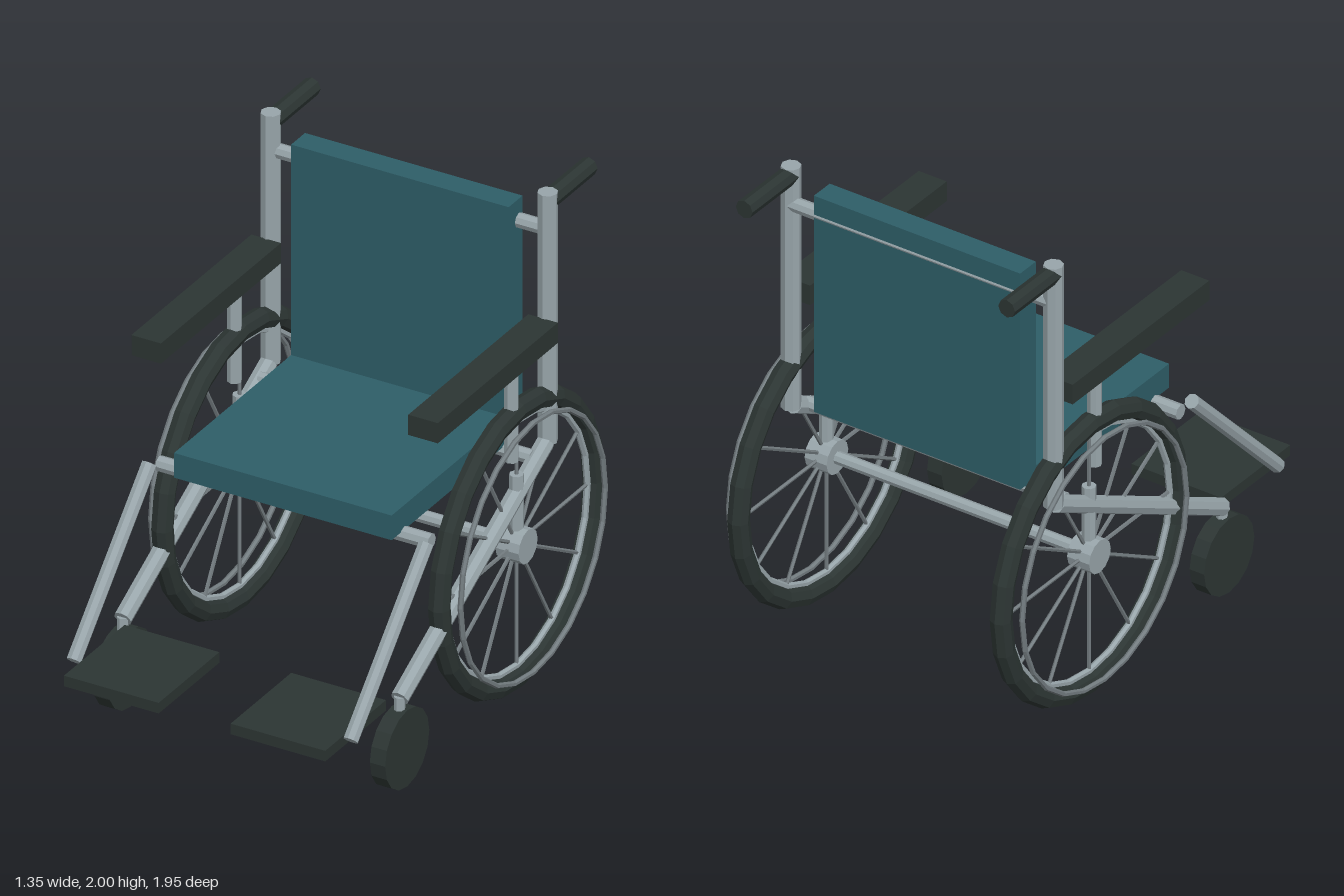
import * as THREE from 'three';

const material = (name, color) => {
  const m = new THREE.MeshStandardMaterial({ color, flatShading: true });
  m.name = name;
  return m;
};

export function createModel() {
  const steel = material('steel', 0x98a5aa);
  const spokeSteel = material('darkSteel', 0x737c80);
  const rubber = material('blackRubber', 0x2c3533);
  const fabric = material('tealFabric', 0x2e5e68);

  const model = new THREE.Group();
  model.name = 'wheelchair';

  const add = (parent, name, geometry, mat, x = 0, y = 0, z = 0) => {
    const mesh = new THREE.Mesh(geometry, mat);
    mesh.name = name;
    mesh.position.set(x, y, z);
    parent.add(mesh);
    return mesh;
  };

  // Box given by its centre and size
  const box = (parent, name, mat, [x, y, z], size) =>
    add(parent, name, new THREE.BoxGeometry(...size), mat, x, y, z);

  // Straight tube between two points
  const tube = (parent, name, mat, from, to, radius, sides = 8) => {
    const a = new THREE.Vector3(...from);
    const b = new THREE.Vector3(...to);
    const dir = b.clone().sub(a);
    const mesh = add(parent, name, new THREE.CylinderGeometry(radius, radius, dir.length(), sides), mat);
    mesh.position.copy(a).add(b).multiplyScalar(0.5);
    mesh.quaternion.setFromUnitVectors(new THREE.Vector3(0, 1, 0), dir.normalize());
    return mesh;
  };

  // Ring facing sideways
  const ring = (parent, name, mat, x, radius, thickness, sides, segments) => {
    const geometry = new THREE.TorusGeometry(radius, thickness, sides, segments).rotateY(Math.PI / 2);
    return add(parent, name, geometry, mat, x);
  };

  // Disc facing sideways
  const disc = (parent, name, mat, [x, y, z], radius, width, sides) => {
    const geometry = new THREE.CylinderGeometry(radius, radius, width, sides).rotateZ(Math.PI / 2);
    return add(parent, name, geometry, mat, x, y, z);
  };

  // Seat and backrest
  box(model, 'seat', fabric, [0, 0.982, -0.1], [0.935, 0.105, 0.865]);
  box(model, 'backrest', fabric, [0, 1.455, -0.576], [0.935, 0.95, 0.102]);

  // Bars running across the frame
  const bars = [
    ['frontCrossbar', 0.913, 0.24, 0.031],
    ['rearCrossbar', 0.913, -0.5, 0.029],
    ['backCrossbar', 1.84, -0.6, 0.03],
    ['axle', 0.615, -0.365, 0.026],
  ];
  for (const [name, y, z, r] of bars) {
    tube(model, name, steel, [-0.585, y, z], [0.585, y, z], r);
  }

  for (const [side, s] of [['left', 1], ['right', -1]]) {
    const half = new THREE.Group();
    half.name = side + 'Side';
    model.add(half);
    const x = 0.595 * s;

    // Frame tubes
    tube(half, 'backPost', steel, [x, 0.94, -0.593], [x, 2, -0.593], 0.039);
    tube(half, 'lowerFrameTube', steel, [x, 0.94, -0.577], [x, 0.37, 0.492], 0.036);
    tube(half, 'legTube', steel, [x, 0.935, 0.297], [x, 0.365, 0.85], 0.03);
    tube(half, 'armrestPost', steel, [x, 0.985, -0.328], [x, 1.4, -0.328], 0.028);
    tube(half, 'axleStrut', steel, [x, 0.615, -0.365], [x, 0.91, -0.365], 0.028);

    // Push handle, armrest and footplate
    tube(half, 'pushHandle', rubber, [x, 1.962, -0.595], [x, 1.962, -0.895], 0.038);
    box(half, 'armrest', rubber, [x, 1.433, -0.12], [0.127, 0.086, 0.88]);
    box(half, 'footplate', rubber, [0.358 * s, 0.352, 0.757], [0.407, 0.045, 0.445]);

    // Front caster
    tube(half, 'casterStem', steel, [x, 0.29, 0.492], [x, 0.38, 0.492], 0.022);
    disc(half, 'casterWheel', rubber, [x, 0.167, 0.492], 0.162, 0.066, 16);

    // Large rear wheel
    const wheel = new THREE.Group();
    wheel.name = 'rearWheel';
    wheel.position.set(x, 0.615, -0.365);
    half.add(wheel);
    ring(wheel, 'tyre', rubber, 0, 0.566, 0.043, 8, 24);
    ring(wheel, 'rim', steel, 0, 0.519, 0.013, 6, 24);
    ring(wheel, 'handRim', spokeSteel, 0.07 * s, 0.53, 0.011, 6, 24);
    disc(wheel, 'hub', steel, [0, 0, 0], 0.07, 0.1, 12);
    for (let i = 0; i < 12; i++) {
      const a = (i * Math.PI) / 6;
      const c = Math.cos(a);
      const n = Math.sin(a);
      tube(wheel, 'spoke', spokeSteel, [0, 0.05 * n, 0.05 * c], [0, 0.52 * n, 0.52 * c], 0.008, 5);
    }
  }

  return model;
}
